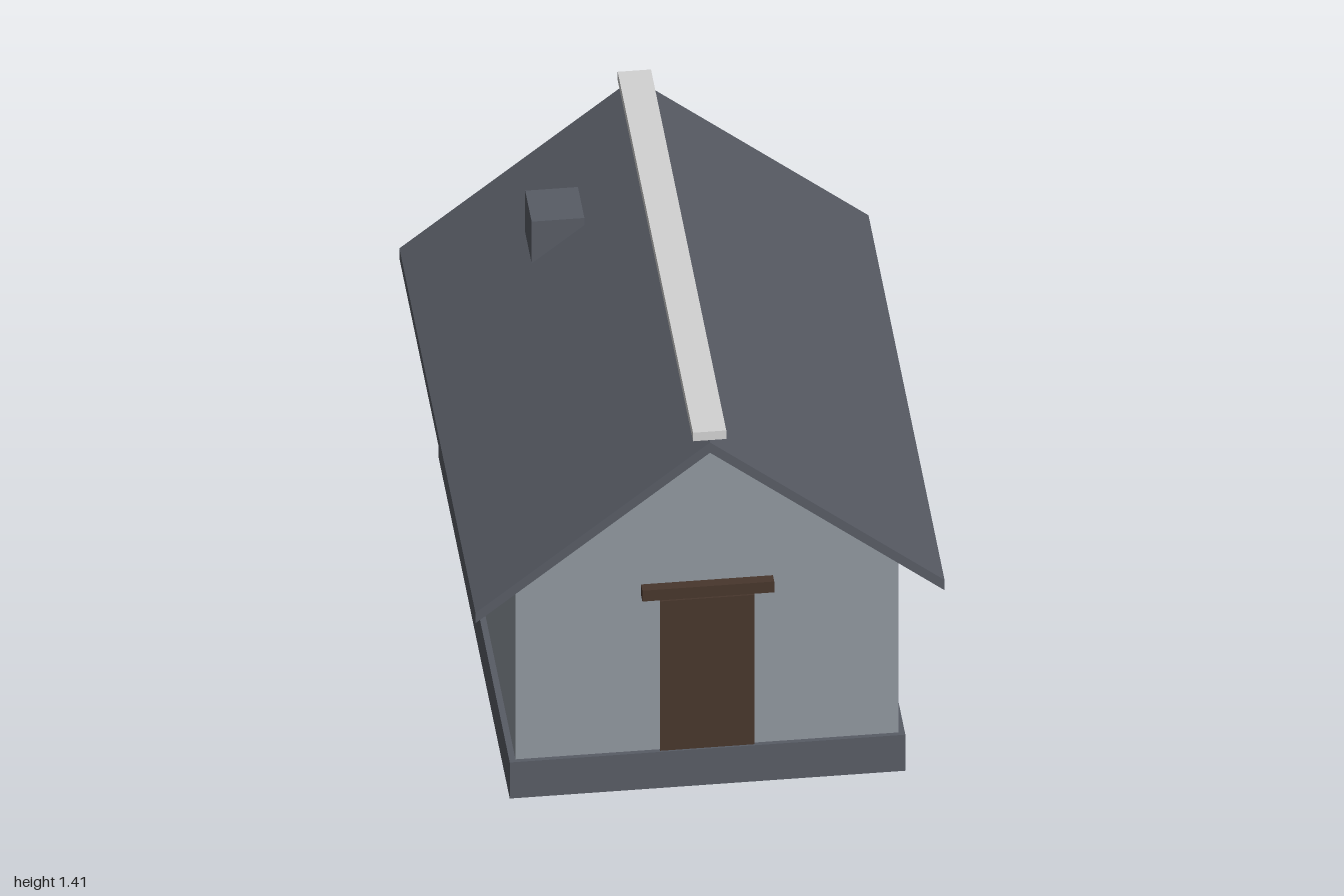
import * as THREE from 'three';

const mat = (name, color, side = THREE.FrontSide) => {
  const m = new THREE.MeshStandardMaterial({ color, side });
  m.name = name;
  return m;
};

export function createModel() {
  const house = new THREE.Group();
  house.name = 'house';
  const slate = mat('slate grey', 0x585c65, THREE.DoubleSide);
  const plaster = mat('plaster grey', 0x90979f);
  const wood = mat('dark wood', 0x48362c);
  const stone = mat('pale stone', 0xd2d2d2);

  const add = (name, geometry, material, parent = house) => {
    const mesh = new THREE.Mesh(geometry, material);
    mesh.name = name;
    parent.add(mesh);
    return mesh;
  };
  // Box given by its lower and upper limits on each axis
  const block = (name, [x0, x1], [y0, y1], [z0, z1], material, parent) => {
    const mesh = add(name, new THREE.BoxGeometry(x1 - x0, y1 - y0, z1 - z0), material, parent);
    mesh.position.set((x0 + x1) / 2, (y0 + y1) / 2, (z0 + z1) / 2);
    return mesh;
  };
  // Front outline extruded along z, centred
  const prism = (name, points, halfLength, material) => {
    const shape = new THREE.Shape(points.map(([x, y]) => new THREE.Vector2(x, y)));
    const geometry = new THREE.ExtrudeGeometry(shape, { depth: 2 * halfLength, bevelEnabled: false });
    geometry.translate(0, 0, -halfLength);
    return add(name, geometry, material);
  };

  // Plinth: a shell left open underneath
  const plinth = block('plinth', [-0.63, 0.63], [0, 0.14], [-0.935, 0.935], slate);
  const faces = Array.from(plinth.geometry.index.array);
  faces.splice(18, 6);
  plinth.geometry.setIndex(faces);
  plinth.geometry.clearGroups();

  // Gabled walls and roof
  prism('walls', [[-0.61, 0.14], [0.61, 0.14], [0.61, 0.847], [0, 1.335], [-0.61, 0.847]], 0.92, plaster);
  prism('roof', [[-0.747, 0.737], [0, 1.335], [0.747, 0.737], [0.747, 0.777], [0, 1.375], [-0.747, 0.777]], 1, slate);
  block('ridgeCap', [-0.053, 0.053], [1.377, 1.41], [-0.99, 0.99], stone);
  block('chimney', [-0.39, -0.222], [1.03, 1.225], [-0.64, -0.47], slate);

  // Door, its foot running down behind the plinth
  block('door', [-0.15, 0.15], [0, 0.72], [0.922, 0.929], wood);
  block('doorLintel', [-0.21, 0.21], [0.743, 0.785], [0.92, 0.955], wood);

  // Windows, built facing +z from the wall plane
  const addWindow = (name, x, z, turn) => {
    const group = new THREE.Group();
    group.name = name;
    block('windowPanel', [-0.087, 0.087], [0.435, 0.67], [0.001, 0.006], wood, group);
    block('windowLintel', [-0.117, 0.117], [0.662, 0.692], [0.005, 0.03], wood, group);
    block('windowSill', [-0.115, 0.115], [0.425, 0.444], [0.006, 0.036], stone, group);
    group.position.set(x, 0, z);
    group.rotation.y = turn;
    house.add(group);
  };
  addWindow('leftWindow', 0.61, 0.092, Math.PI / 2);
  addWindow('rightWindow', -0.61, -0.145, -Math.PI / 2);
  addWindow('backWindow', 0, -0.92, Math.PI);

  return house;
}
